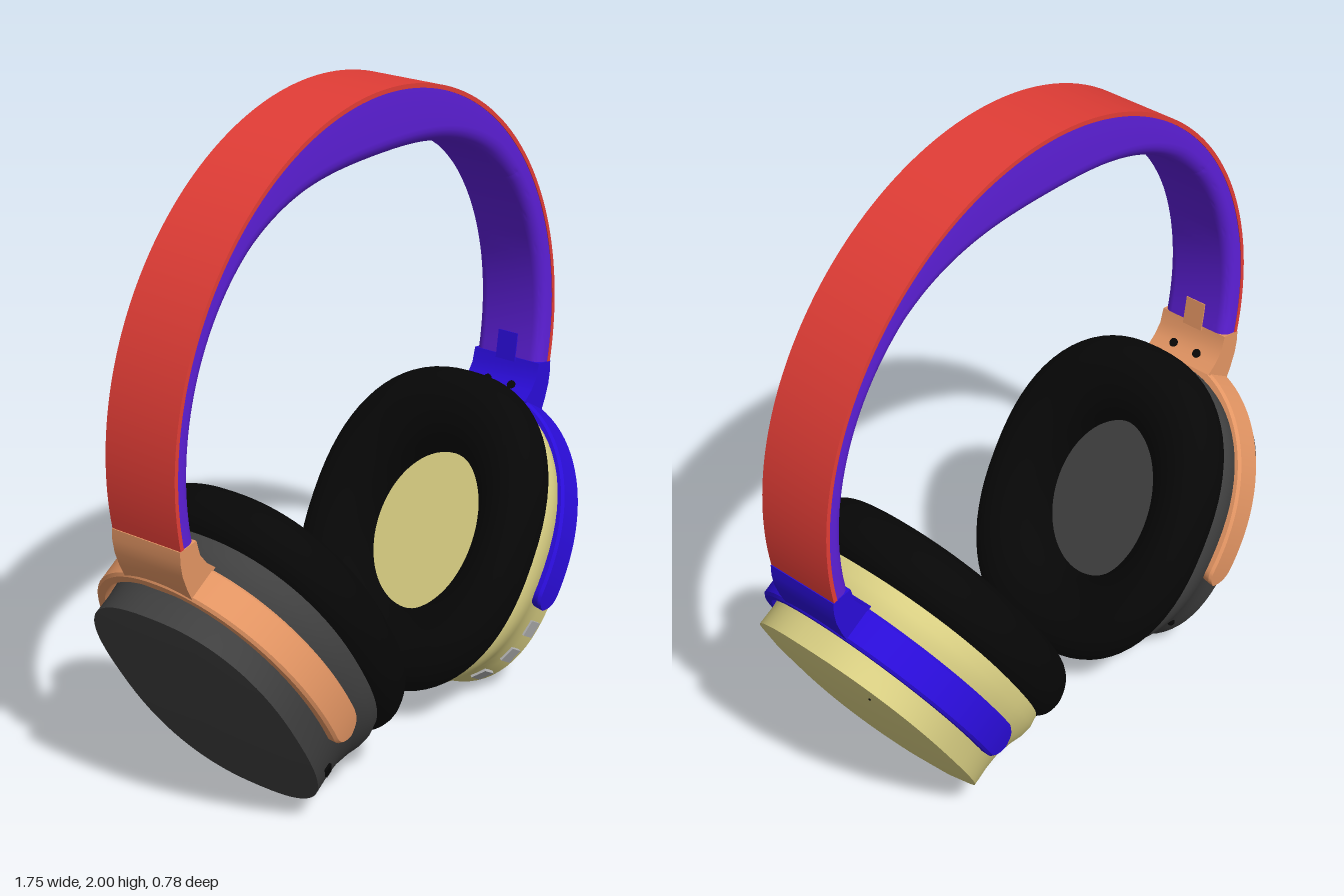
import * as THREE from 'three';
import { toCreasedNormals } from 'three/addons/utils/BufferGeometryUtils.js';

const V = (x, y, z) => new THREE.Vector3(x, y, z);
const mat = (color) => new THREE.MeshStandardMaterial({ color });
const BLACK = mat(0x070707), GREY = mat(0xb0b0b0);
const RED = mat(0xe23d36), PURPLE = mat(0x5d1fd8);

function add(parent, name, geometry, material, x = 0, y = 0, z = 0) {
  const mesh = new THREE.Mesh(geometry, material);
  mesh.name = name;
  mesh.position.set(x, y, z);
  parent.add(mesh);
  return mesh;
}

// Skins a list of closed rings, caps both ends and turns the faces outward.
function skin(rings, crease = 0.5) {
  const n = rings[0].length, last = rings.length - 1, pos = [], idx = [];
  rings.forEach((r) => r.forEach((p) => pos.push(p.x, p.y, p.z)));
  for (let i = 0; i < last; i++) {
    for (let j = 0; j < n; j++) {
      const a = i * n + j, b = i * n + (j + 1) % n;
      idx.push(a, b, a + n, b, b + n, a + n);
    }
  }
  [0, last].forEach((i) => {
    const c = rings[i].reduce((s, p) => s.add(p), V(0, 0, 0)).divideScalar(n);
    const k = pos.length / 3;
    pos.push(c.x, c.y, c.z);
    for (let j = 0; j < n; j++) {
      const a = i * n + j, b = i * n + (j + 1) % n;
      if (i === 0) idx.push(k, b, a); else idx.push(k, a, b);
    }
  });
  const at = (i) => V(pos[3 * i], pos[3 * i + 1], pos[3 * i + 2]);
  let volume = 0;
  for (let i = 0; i < idx.length; i += 3) volume += at(idx[i]).dot(at(idx[i + 1]).cross(at(idx[i + 2])));
  if (volume < 0) idx.reverse();
  const g = new THREE.BufferGeometry();
  g.setAttribute('position', new THREE.Float32BufferAttribute(pos, 3));
  g.setIndex(idx);
  return toCreasedNormals(g, crease);
}

// Point on a squarish oval in the yz plane.
function oval(x, hy, hz, e, t) {
  const c = Math.cos(t), s = Math.sin(t);
  return V(x, Math.sign(c) * Math.abs(c) ** (2 / e) * hy, Math.sign(s) * Math.abs(s) ** (2 / e) * hz);
}
const ovalRing = (x, hy, hz, e, n = 72) =>
  Array.from({ length: n }, (_, i) => oval(x, hy, hz, e, (i / n) * Math.PI * 2));

// Ear cup: ridge beside the cushion, shallow waist, flared rim and domed outer cap.
function cupGeometry() {
  const sections = [[0.078, 0.45, 0.355, 2.3], [0.095, 0.463, 0.366, 2.3], [0.13, 0.468, 0.37, 2.3],
    [0.165, 0.464, 0.367, 2.25], [0.2, 0.45, 0.354, 2.25], [0.25, 0.434, 0.339, 2.3], [0.3, 0.427, 0.331, 2.4],
    [0.357, 0.426, 0.327, 2.5], [0.371, 0.36, 0.276, 2.5], [0.383, 0.26, 0.2, 2.4], [0.391, 0.14, 0.108, 2.2],
    [0.394, 0.04, 0.03, 2]];
  return skin(sections.map((s) => ovalRing(...s)));
}

// Cushion: f runs from the rim of the hole (0) to the outside (1).
function cushionGeometry() {
  const profile = new THREE.SplineCurve([[0.11, 0], [0.05, 0], [-0.015, 0.08], [-0.055, 0.24], [-0.077, 0.45],
    [-0.08, 0.65], [-0.067, 0.81], [-0.038, 0.93], [0.0, 0.99], [0.035, 1], [0.07, 0.95], [0.095, 0.84]]
    .map(([x, f]) => new THREE.Vector2(x, f)));
  return skin(profile.getPoints(40).map(({ x, y: f }) =>
    ovalRing(x, 0.25 + 0.25 * f, 0.195 + 0.195 * f, 2 + 0.35 * f)), 0.9);
}

// Fork arm: a flat strip with round tips, bent over the cup.
function armGeometry() {
  const rings = [], N = 80, half = 0.053, mid = 0.233, tip = -0.12, tMax = 1.81;
  const path = (t) => oval(mid, 0.477, 0.37, 2.1, t);
  for (let i = 0; i <= N; i++) {
    const t = tMax * Math.sin((i / N - 0.5) * Math.PI), p = path(t);
    const d = path(t + 0.004).sub(path(t - 0.004)).normalize();
    const out = V(0, d.z, -d.y);
    const k = Math.max(0, 1 - (p.y - tip) / half);
    const w = Math.max(0.004, half * Math.sqrt(Math.max(0, 1 - k * k)));
    const b = Math.min(0.008, w * 0.4);
    rings.push([[-w, -0.015], [w, -0.015], [w, 0.007], [w - b, 0.015], [b - w, 0.015], [-w, 0.007]]
      .map(([x, h]) => p.clone().addScaledVector(out, h).add(V(x, 0, 0))));
  }
  return skin(rings);
}

// Sweeps a section of (depth below the outer radius, z) along the headband arc.
function bandGeometry(from, to, section) {
  const N = Math.ceil((to - from) * 32), R = 0.877, cy = 1.123;
  return skin(Array.from({ length: N + 1 }, (_, i) => {
    const a = from + ((to - from) * i) / N;
    return section(a).map(([d, z]) => V(Math.sin(a) * (R - d), cy + Math.cos(a) * (R - d), z));
  }));
}
const coverSection = () => [[0, -0.12], [0, 0.12], [0.013, 0.12], [0.013, -0.12]];
function padSection(a) {
  const t = 0.066 + 0.126 * Math.exp(-((a / 0.67) ** 2)), c = Math.min(0.05, t * 0.5), w = 0.118;
  const pts = [[0.012, w]];
  for (let i = 0; i <= 6; i++) {
    const q = (i / 6) * Math.PI / 2;
    pts.push([t - c + c * Math.sin(q), w - c + c * Math.cos(q)]);
  }
  return [...pts, ...pts.map(([d, z]) => [d, -z]).reverse()];
}

// Sets a small part on the side wall of a cup, turned to the surface.
function onWall(mesh, x, y, sz) {
  const hy = 0.428, hz = 0.331, e = 2.42;
  const z = hz * (1 - (Math.abs(y) / hy) ** e) ** (1 / e);
  const ny = Math.sign(y) * Math.abs(y) ** (e - 1) / hy ** e, nz = z ** (e - 1) / hz ** e;
  mesh.position.set(x, y, sz * z);
  mesh.rotation.x = -Math.atan2(ny, sz * nz);
}

// One side: hinge, fork arm, cup and cushion, modelled at +x.
function buildSide(name, shellColor, armColor, isLeft) {
  const side = new THREE.Group(), shell = mat(shellColor), arm = mat(armColor);
  side.name = name;

  // Hinge block between headband and arm
  const shape = new THREE.Shape([[0.8, 0.968], [0.787, 0.922], [0.762, 0.89], [0.728, 0.864], [0.817, 0.793],
    [0.84, 0.84], [0.857, 0.885], [0.864, 0.925], [0.864, 0.958]].map(([x, y]) => new THREE.Vector2(x, y)));
  const block = new THREE.ExtrudeGeometry(shape, { depth: 0.24, bevelEnabled: false });
  add(side, 'hinge', toCreasedNormals(block.translate(0, 0, -0.12), 0.5), arm);
  const tab = add(side, 'hingeTab', new THREE.BoxGeometry(0.02, 0.09, 0.07), arm, 0.807, 1.0, 0);
  tab.rotation.z = -0.15;
  for (const z of [-0.045, 0.045]) {
    const screw = add(side, 'hingeScrew', new THREE.CylinderGeometry(0.014, 0.014, 0.008, 16), BLACK, 0.763, 0.891, z);
    screw.rotation.z = 0.83;
  }

  // Tilted cup assembly
  const cup = new THREE.Group();
  cup.name = 'earCup';
  cup.position.set(0.338, 0.554, 0);
  cup.rotation.z = -0.548;
  side.add(cup);
  add(cup, 'cupShell', cupGeometry(), shell);
  add(cup, 'cushion', cushionGeometry(), BLACK);
  add(cup, 'forkArm', armGeometry(), arm);
  for (const s of [-1, 1]) {
    const pivot = add(cup, 'pivot', new THREE.CylinderGeometry(0.035, 0.035, 0.05, 20), GREY, 0.233, -0.06, s * 0.345);
    pivot.rotation.x = Math.PI / 2;
  }

  // Buttons, port and microphone holes
  if (isLeft) {
    for (const [x, y] of [[0.309, -0.187], [0.305, -0.282], [0.3, -0.366]]) {
      onWall(add(cup, 'button', new THREE.BoxGeometry(0.052, 0.052, 0.014), GREY), x, y, 1);
    }
    onWall(add(cup, 'slot', new THREE.BoxGeometry(0.01, 0.04, 0.01), shell), 0.29, -0.35, -1);
    add(cup, 'microphoneHole', new THREE.SphereGeometry(0.004, 10, 8), BLACK, 0.368, 0.313, -0.19);
  } else {
    onWall(add(cup, 'port', new THREE.BoxGeometry(0.025, 0.05, 0.01), BLACK), 0.308, -0.233, -1);
    onWall(add(cup, 'rearHole', new THREE.SphereGeometry(0.012, 12, 8), BLACK), 0.27, -0.3, 1);
  }
  return side;
}

export function createModel() {
  const model = new THREE.Group();
  model.name = 'headphones';

  // Headband: outer cover, thick middle pad and two side linings
  const end = 1.76, joint = 0.927;
  add(model, 'bandCover', bandGeometry(-end, end, coverSection), RED);
  add(model, 'bandPad', bandGeometry(-joint, joint, padSection), PURPLE);
  add(model, 'leftLining', bandGeometry(joint, end, padSection), PURPLE);
  add(model, 'rightLining', bandGeometry(-end, -joint, padSection), PURPLE);

  // The right side is the left one turned half round
  model.add(buildSide('leftSide', 0xd8ce82, 0x2a0cd8, true));
  const right = buildSide('rightSide', 0x404040, 0xe39563, false);
  right.rotation.y = Math.PI;
  model.add(right);
  return model;
}
